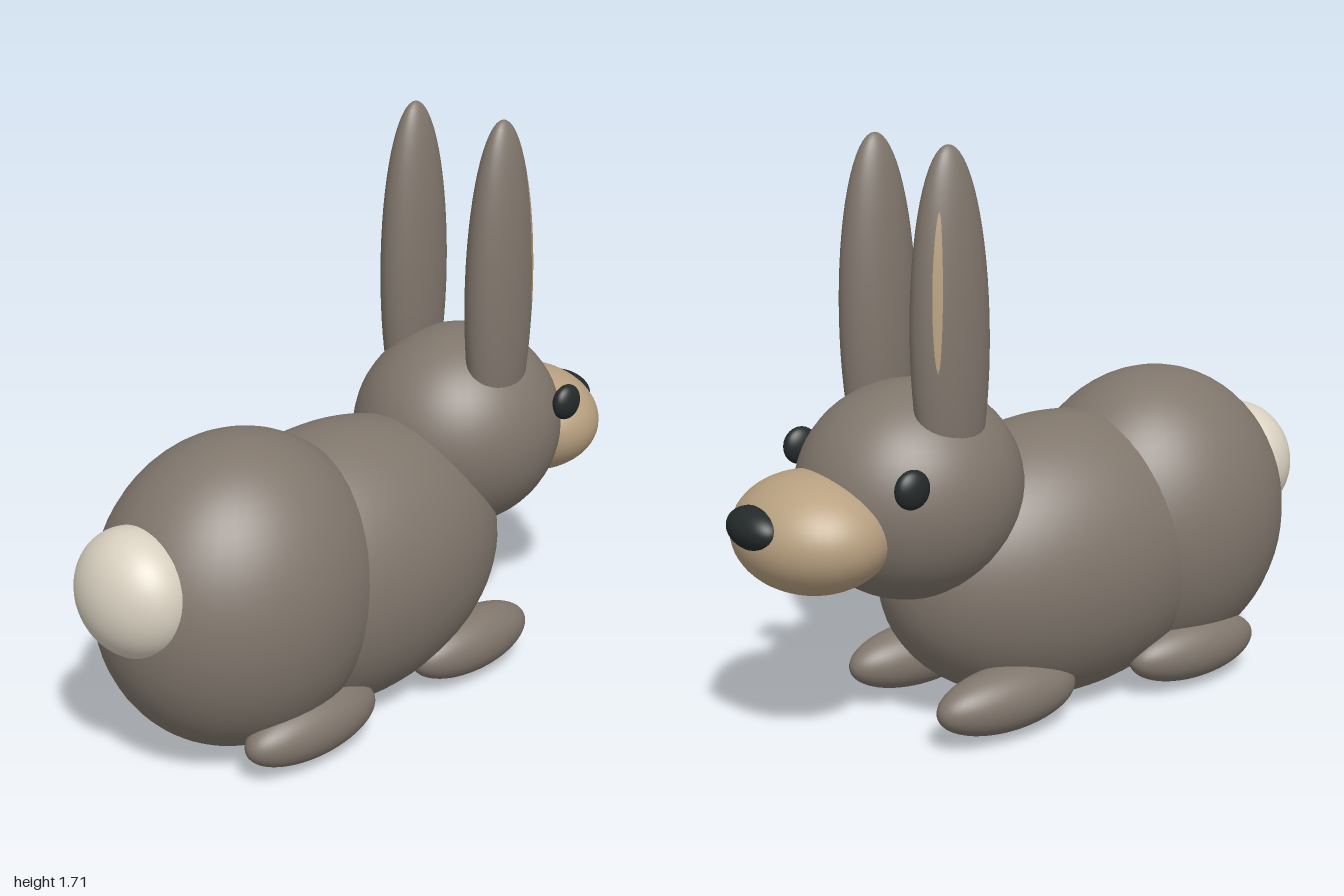
import * as THREE from 'three';
import { ParametricGeometry } from 'three/addons/geometries/ParametricGeometry.js';

const paint = (color, side = THREE.FrontSide) => new THREE.MeshStandardMaterial({ color, side });

export function createModel() {
  const rabbit = new THREE.Group();
  rabbit.name = 'rabbit';
  const fur = paint(0x80766c);
  const tan = paint(0xb8a080);
  const cream = paint(0xd8d0c0);
  const dark = paint(0x24292a);
  const lining = paint(0xb8a080, THREE.DoubleSide);

  const ball = new THREE.SphereGeometry(1, 48, 32);
  const ellipsoid = (name, material, position, radii) => {
    const mesh = new THREE.Mesh(ball, material);
    mesh.name = name;
    mesh.position.set(...position);
    mesh.scale.set(...radii);
    rabbit.add(mesh);
  };

  // Body, head and tail along the centre line
  ellipsoid('rump', fur, [-0.48, 0.487, 0], [0.44, 0.465, 0.377]);
  ellipsoid('torso', fur, [-0.09, 0.439, 0], [0.59, 0.43, 0.367]);
  ellipsoid('head', fur, [0.43, 0.735, 0], [0.335, 0.315, 0.31]);
  ellipsoid('tail', cream, [-0.85, 0.597, 0], [0.15, 0.185, 0.19]);
  ellipsoid('muzzle', tan, [0.755, 0.672, 0], [0.218, 0.168, 0.245]);
  ellipsoid('nose', dark, [0.935, 0.716, 0], [0.065, 0.06, 0.106]);

  // Paired parts
  for (const s of [1, -1]) {
    const side = s > 0 ? 'Left' : 'Right';
    const earCentre = [0.41, 1.2, s * 0.174];
    ellipsoid('eye' + side, dark, [0.615, 0.83, s * 0.28], [0.054, 0.055, 0.031]);
    ellipsoid('ear' + side, fur, earCentre, [0.121, 0.52, 0.08]);
    ellipsoid('frontFoot' + side, fur, [0.257, 0.128, s * 0.224], [0.24, 0.097, 0.097]);
    ellipsoid('hindFoot' + side, fur, [-0.435, 0.125, s * 0.25], [0.24, 0.095, 0.095]);

    // Thin tapered strip lying just above the outer front of the ear
    const strip = new ParametricGeometry((u, v, target) => {
      const theta = 0.83 + 0.9 * v;
      const phi = s * (0.82 + 0.28 * (u - 0.5) * Math.sqrt(Math.sin(Math.PI * v) + 1e-6));
      target.set(
        0.1222 * Math.sin(theta) * Math.cos(phi),
        0.522 * Math.cos(theta),
        0.081 * Math.sin(theta) * Math.sin(phi));
    }, 6, 24);
    const innerEar = new THREE.Mesh(strip, lining);
    innerEar.name = 'innerEar' + side;
    innerEar.position.set(...earCentre);
    rabbit.add(innerEar);
  }
  return rabbit;
}
